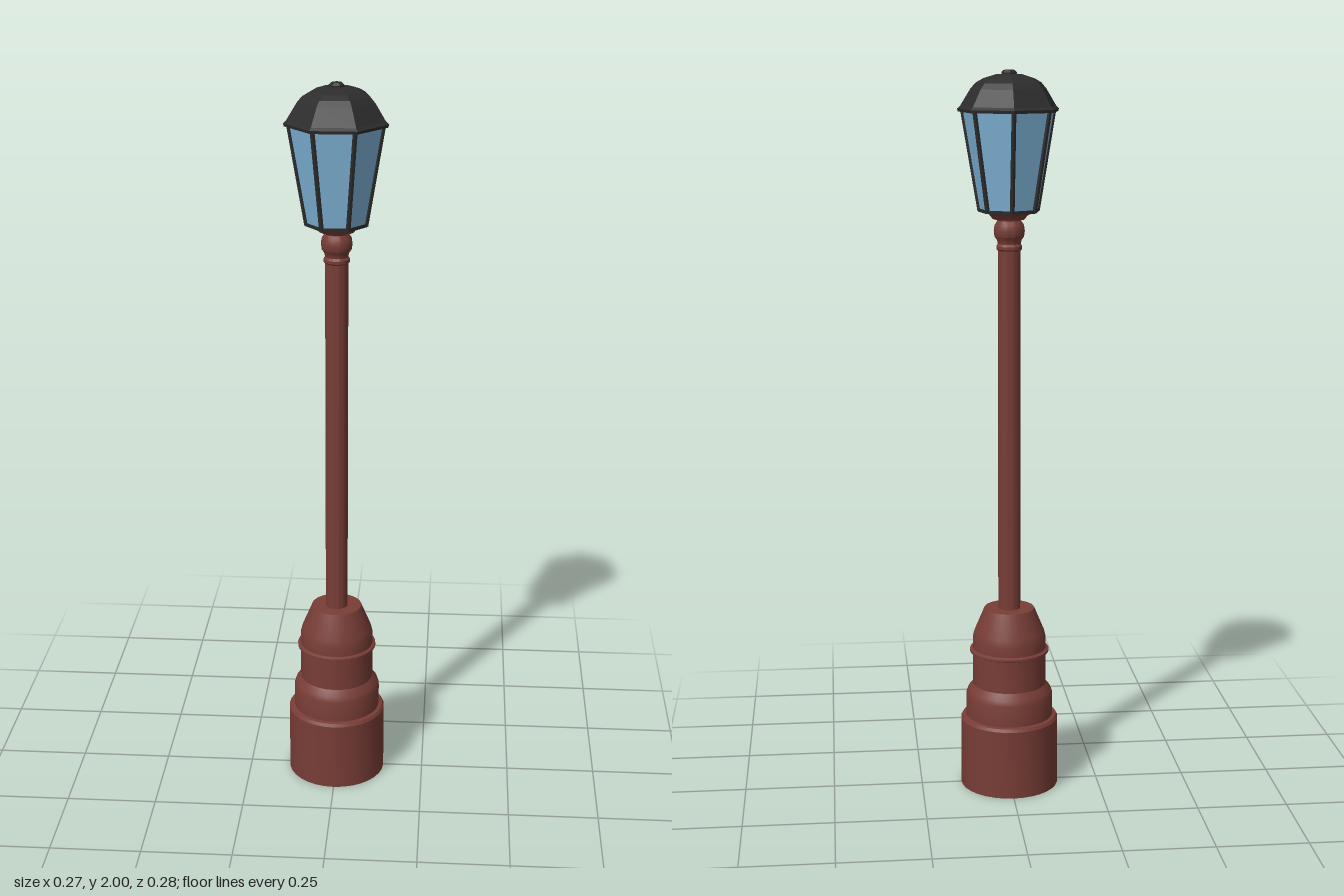
import * as THREE from 'three';
import { toCreasedNormals } from 'three/addons/utils/BufferGeometryUtils.js';

const SIDES = 7; // lantern is a heptagon with one corner at the back

export function createModel() {
  const model = new THREE.Group();
  model.name = 'streetLamp';
  const mat = (color, flatShading = false) =>
    new THREE.MeshStandardMaterial({ color, flatShading });
  const iron = mat(0x783d36);
  const ironFlat = mat(0x783d36, true);
  const dark = mat(0x2d2d2d, true);
  const glass = mat(0x7fb4d8, true);

  const add = (name, geometry, material, parent = model) => {
    const mesh = new THREE.Mesh(geometry, material);
    mesh.name = name;
    parent.add(mesh);
    return mesh;
  };
  const profile = (pts) => pts.map(([r, y]) => new THREE.Vector2(r, y));
  // Round turned part, profile runs bottom to top
  const turned = (name, pts) =>
    add(name, toCreasedNormals(new THREE.LatheGeometry(profile(pts), 32), 0.5), iron);
  // Seven-sided part
  const faceted = (name, pts, material, parent) =>
    add(name, new THREE.LatheGeometry(profile(pts), SIDES, Math.PI), material, parent);

  // Stepped pedestal
  turned('base', [
    [0, 0], [0.137, 0], [0.137, 0.195], [0.132, 0.203], [0.122, 0.205],
    [0.122, 0.265], [0.117, 0.28], [0.103, 0.297], [0.103, 0.388],
    [0.111, 0.392], [0.111, 0.398], [0.103, 0.402], [0.103, 0.43],
    [0.098, 0.45], [0.07, 0.517], [0, 0.517],
  ]);

  // Slender pole with a small ring and a bulbous collar
  turned('pole', [
    [0.031, 0.51], [0.031, 1.522], [0.035, 1.526], [0.035, 1.534],
    [0.031, 1.54], [0.033, 1.55], [0.04, 1.56], [0.042, 1.575],
    [0.04, 1.59], [0.032, 1.602], [0.032, 1.62], [0, 1.62],
  ]);

  // Lantern
  const lantern = new THREE.Group();
  lantern.name = 'lantern';
  model.add(lantern);

  faceted('lanternSeat', [
    [0, 1.606], [0.045, 1.606], [0.055, 1.618], [0.078, 1.627], [0, 1.627],
  ], ironFlat, lantern);
  faceted('bottomRim', [
    [0, 1.625], [0.084, 1.625], [0.085, 1.634], [0, 1.634],
  ], dark, lantern);
  faceted('glassPanes', [[0.081, 1.63], [0.127, 1.895]], glass, lantern);

  // Glazing bars along the seven corners
  const up = new THREE.Vector3(0, 1, 0);
  for (let i = 0; i < SIDES; i++) {
    const a = Math.PI + (i * 2 * Math.PI) / SIDES;
    const corner = (r, y) => new THREE.Vector3(r * Math.sin(a), y, r * Math.cos(a));
    const from = corner(0.08, 1.628);
    const to = corner(0.126, 1.897);
    const dir = to.clone().sub(from);
    const bar = add('glazingBar', new THREE.CylinderGeometry(0.007, 0.007, dir.length(), 6), dark, lantern);
    bar.position.copy(from).add(to).multiplyScalar(0.5);
    bar.quaternion.setFromUnitVectors(up, dir.normalize());
  }

  // Domed roof with rim, topped by a small knob
  faceted('roof', [
    [0, 1.89], [0.138, 1.89], [0.14, 1.898], [0.132, 1.905], [0.104, 1.95],
    [0.09, 1.966], [0.07, 1.977], [0.035, 1.988], [0, 1.99],
  ], dark, lantern);
  faceted('knob', [
    [0.02, 1.98], [0.021, 1.993], [0.015, 1.999], [0, 2],
  ], dark, lantern);

  return model;
}
